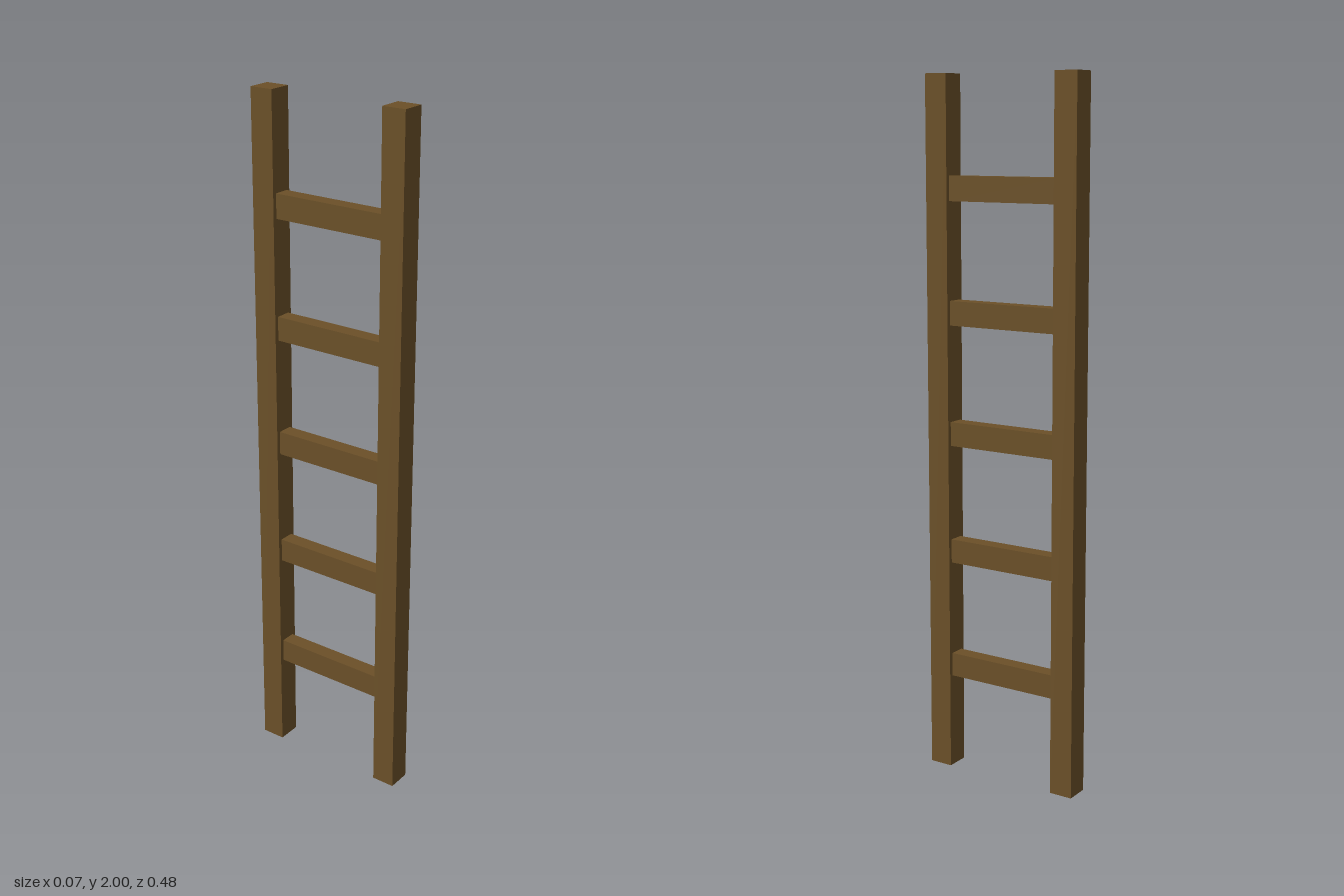
import * as THREE from 'three';

export function createModel() {
  const ladder = new THREE.Group();
  ladder.name = 'ladder';
  const wood = new THREE.MeshStandardMaterial({ color: 0x6b5028, flatShading: true });

  const railSize = 0.069;
  const railZ = 0.207;

  function addBeam(name, width, height, depth, y, z) {
    const beam = new THREE.Mesh(new THREE.BoxGeometry(width, height, depth), wood);
    beam.name = name;
    beam.position.set(0, y, z);
    ladder.add(beam);
  }

  // Two upright rails
  addBeam('frontRail', railSize, 2, railSize, 1, railZ);
  addBeam('backRail', railSize, 2, railSize, 1, -railZ);

  // Five evenly spaced rungs, narrower than the rails
  const rungLength = 2 * railZ - railSize;
  for (let i = 0; i < 5; i++) {
    addBeam(`rung${i + 1}`, 0.045, railSize, rungLength, 0.313 + i * 0.3445, 0);
  }

  return ladder;
}
